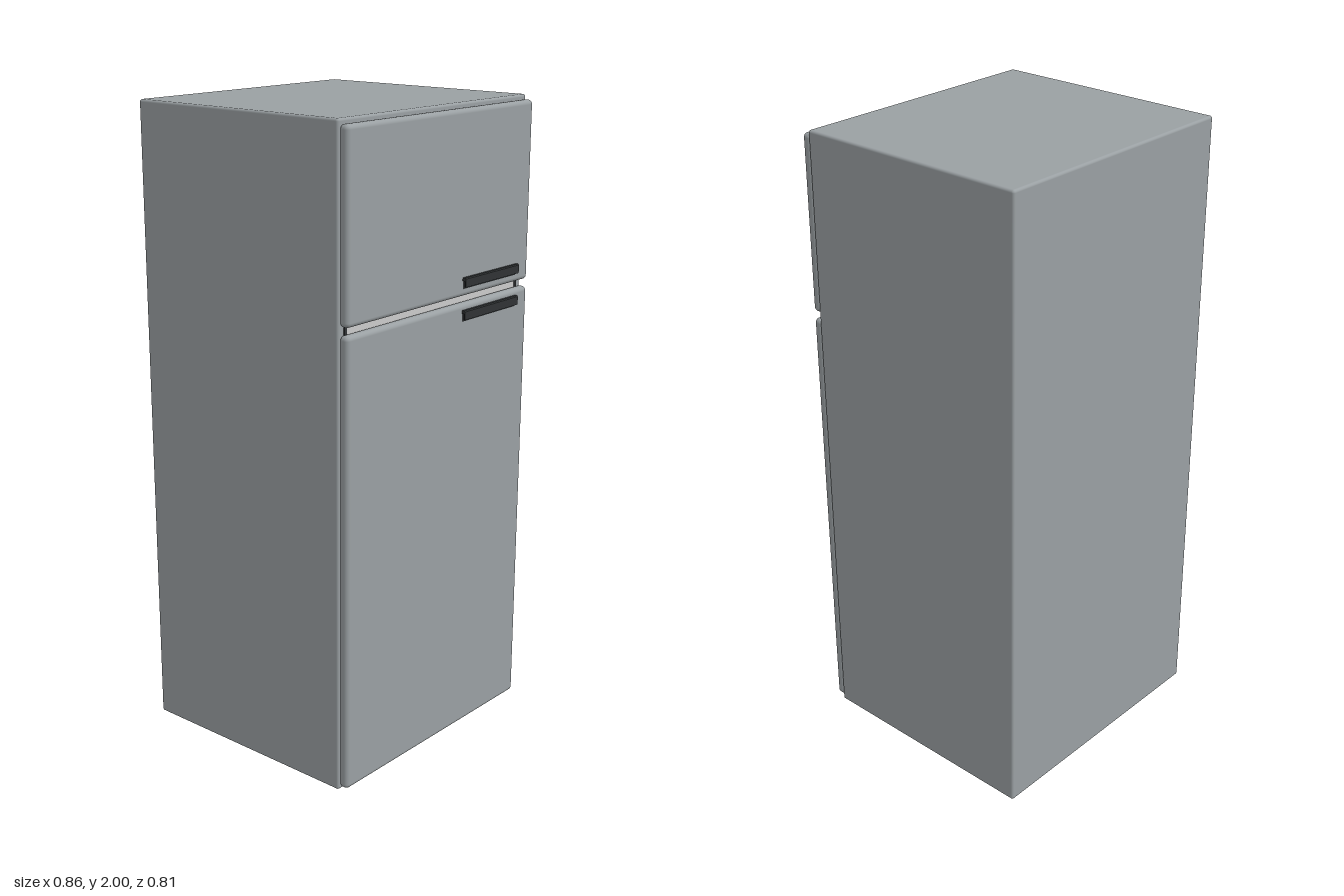
import * as THREE from 'three';
import { RoundedBoxGeometry } from 'three/addons/geometries/RoundedBoxGeometry.js';

const shell = new THREE.MeshStandardMaterial({ color: 0x9aa0a3 });
const dark = new THREE.MeshStandardMaterial({ color: 0x303335 });
const pale = new THREE.MeshStandardMaterial({ color: 0xcccccc });

function add(parent, name, geometry, material, x = 0, y = 0, z = 0) {
  const mesh = new THREE.Mesh(geometry, material);
  mesh.name = name;
  mesh.position.set(x, y, z);
  parent.add(mesh);
  return mesh;
}

// Rounded box given by its limits
function slab(parent, name, material, [x0, x1], [y0, y1], [z0, z1], radius) {
  const geometry = new RoundedBoxGeometry(x1 - x0, y1 - y0, z1 - z0, 4, radius);
  return add(parent, name, geometry, material, (x0 + x1) / 2, (y0 + y1) / 2, (z0 + z1) / 2);
}

// Hooked pull: a lip standing off the door, turned down in front of a dark recess plate
function addHandle(parent, name, top) {
  const handle = new THREE.Group();
  handle.name = name;
  const hook = new THREE.Shape([
    [0.385, 0], [0.4, 0], [0.403, -0.003], [0.403, -0.028],
    [0.399, -0.028], [0.399, -0.01], [0.385, -0.01],
  ].map(([z, y]) => new THREE.Vector2(-z, y)));
  const grip = add(handle, 'grip',
    new THREE.ExtrudeGeometry(hook, { depth: 0.27, bevelEnabled: false }), dark, 0.09, top, 0);
  grip.rotation.y = Math.PI / 2;
  add(handle, 'recessPlate', new THREE.BoxGeometry(0.262, 0.025, 0.004), dark, 0.225, top - 0.0215, 0.391);
  parent.add(handle);
}

export function createModel() {
  const fridge = new THREE.Group();
  fridge.name = 'refrigerator';

  // Cabinet
  slab(fridge, 'cabinet', shell, [-0.43, 0.43], [0.028, 2], [-0.403, 0.36], 0.008);

  // Doors with soft edges
  slab(fridge, 'freezerDoor', shell, [-0.426, 0.426], [1.442, 1.986], [0.358, 0.391], 0.014);
  slab(fridge, 'mainDoor', shell, [-0.426, 0.426], [0.038, 1.42], [0.358, 0.391], 0.014);

  // Pale divider seen in the gap between the doors, with dark end pieces
  add(fridge, 'divider', new THREE.BoxGeometry(0.79, 0.04, 0.004), pale, 0, 1.431, 0.36);
  for (const side of [-1, 1]) {
    add(fridge, 'dividerEnd', new THREE.BoxGeometry(0.012, 0.04, 0.006), dark, side * 0.401, 1.431, 0.36);
  }

  // Handles
  addHandle(fridge, 'freezerHandle', 1.5);
  addHandle(fridge, 'mainHandle', 1.402);

  // Front feet
  for (const side of [-1, 1]) {
    add(fridge, 'foot', new THREE.CylinderGeometry(0.028, 0.028, 0.02, 24), dark, side * 0.333, 0.01, 0.29);
    add(fridge, 'footStem', new THREE.CylinderGeometry(0.018, 0.018, 0.014, 16), dark, side * 0.333, 0.025, 0.29);
  }
  return fridge;
}

// The hook profile is drawn with -z across, so a quarter turn about y runs it along +x.
